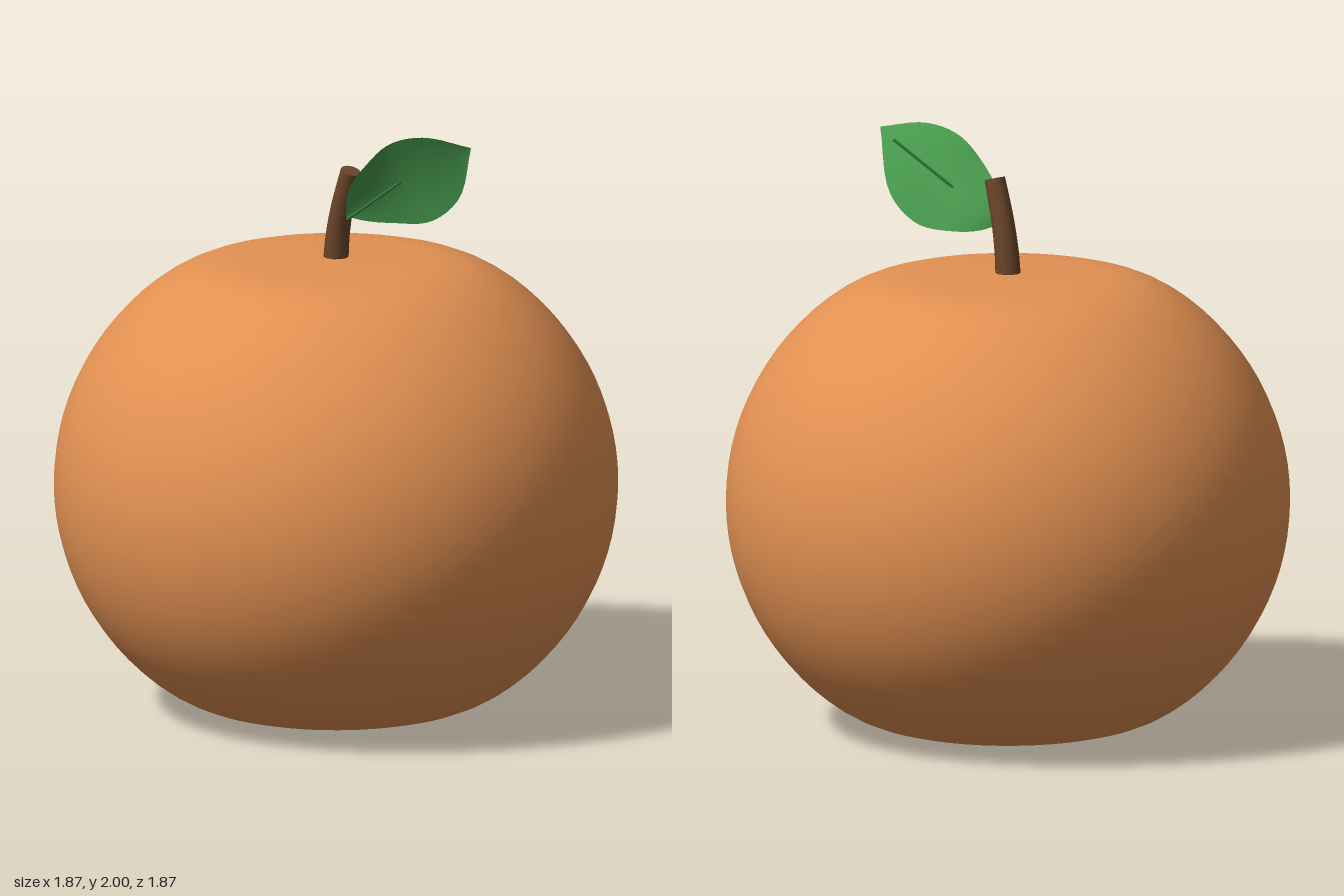
import * as THREE from 'three';

const V = (x, y, z) => new THREE.Vector3(x, y, z);
const curve = (pts) => new THREE.CatmullRomCurve3(pts.map((p) => V(...p)));

// Leaf blade lofted between its upper and lower edges, slightly cupped
function leafGeometry() {
  const upper = curve([[0.065, 1.69, 0.015], [0.1, 1.79, 0.03], [0.17, 1.88, 0.02], [0.25, 1.965, -0.02], [0.355, 1.997, -0.08], [0.49, 1.972, -0.17]]);
  const lower = curve([[0.065, 1.69, 0.015], [0.1, 1.67, -0.05], [0.16, 1.665, -0.11], [0.275, 1.68, -0.175], [0.38, 1.77, -0.21], [0.49, 1.972, -0.17]]);
  const normal = V(0.547, -0.341, 0.756).normalize();
  const along = 24, across = 8;
  const positions = [], index = [];
  for (let i = 0; i <= along; i++) {
    const t = i / along;
    const a = lower.getPoint(t), b = upper.getPoint(t);
    for (let j = 0; j <= across; j++) {
      const s = j / across;
      const cup = -0.015 * 4 * s * (1 - s) * Math.sin(Math.PI * t);
      positions.push(...a.clone().lerp(b, s).addScaledVector(normal, cup).toArray());
      if (i < along && j < across) {
        const k = i * (across + 1) + j, n = k + across + 1;
        index.push(k, n, k + 1, n, n + 1, k + 1);
      }
    }
  }
  const geo = new THREE.BufferGeometry();
  geo.setAttribute('position', new THREE.Float32BufferAttribute(positions, 3));
  geo.setIndex(index);
  geo.computeVertexNormals();
  return geo;
}

export function createModel() {
  const model = new THREE.Group();
  const material = (name, color, side = THREE.FrontSide) => {
    const m = new THREE.MeshStandardMaterial({ color, side });
    m.name = name;
    return m;
  };
  const orange = material('orange skin', 0xe29152);
  const brown = material('brown stem', 0x6b4529);
  const green = material('leaf green', 0x4a9e50, THREE.DoubleSide);
  const darkGreen = material('vein green', 0x2f7a3a);

  const add = (name, geo, mat) => {
    const mesh = new THREE.Mesh(geo, mat);
    mesh.name = name;
    model.add(mesh);
    return mesh;
  };

  // Fruit: an ellipsoid flattened at both poles
  const profile = [];
  const steps = 48;
  for (let i = 0; i <= steps; i++) {
    const a = (Math.PI * i) / steps;
    const r = i % steps === 0 ? 0 : 0.937 * Math.sin(a);
    const c = -Math.cos(a);
    const flatten = 0.098 * Math.exp(-Math.pow(r / 0.39, 3));
    profile.push(new THREE.Vector2(r, 0.77 + 0.868 * c - Math.sign(c) * flatten));
  }
  add('fruit', new THREE.LatheGeometry(profile, 64), orange);

  // Stem: a bent, slightly tapering tube with a closed top
  const path = curve([[0, 1.535, 0], [0.008, 1.61, 0], [0.03, 1.71, 0], [0.075, 1.845, 0]]);
  const segments = 12, sides = 10;
  const stem = new THREE.TubeGeometry(path, segments, 0.042, sides);
  const pos = stem.attributes.position;
  for (let i = 0; i <= segments; i++) {
    const center = path.getPointAt(i / segments);
    for (let j = 0; j <= sides; j++) {
      const k = i * (sides + 1) + j;
      const p = V(0, 0, 0).fromBufferAttribute(pos, k);
      p.sub(center).multiplyScalar(1 - (0.18 * i) / segments).add(center);
      pos.setXYZ(k, p.x, p.y, p.z);
    }
  }
  add('stem', stem, brown);
  const cap = add('stemTop', new THREE.CircleGeometry(0.0344, sides), brown);
  cap.position.copy(path.getPointAt(1));
  cap.quaternion.setFromUnitVectors(V(0, 0, 1), path.getTangentAt(1));

  // Leaf and its straight midrib, which stands off the back of the blade
  add('leaf', leafGeometry(), green);
  const rib = new THREE.LineCurve3(V(0.085, 1.685, 0.025), V(0.36, 1.955, -0.21));
  add('leafVein', new THREE.TubeGeometry(rib, 1, 0.005, 6), darkGreen);

  return model;
}
